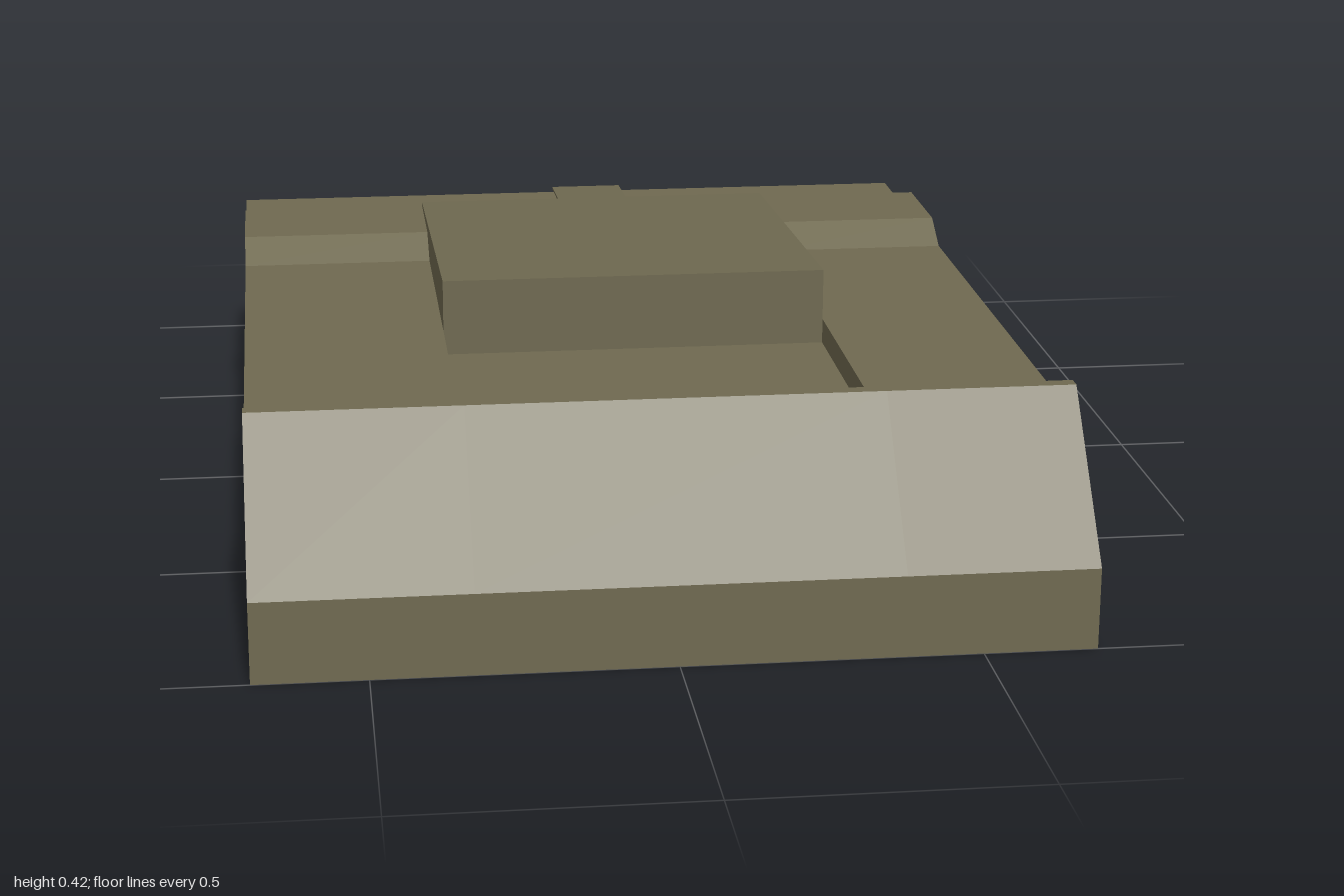
import * as THREE from 'three';

const olive = new THREE.MeshStandardMaterial({ color: 0x6f6950 });
olive.name = 'olive drab';

// Extrudes a side profile of [z, y] points across the width from x0 to x1.
function slab(name, profile, x0, x1) {
  const shape = new THREE.Shape(profile.map(([z, y]) => new THREE.Vector2(z, y)));
  const geometry = new THREE.ExtrudeGeometry(shape, { depth: x1 - x0, bevelEnabled: false });
  geometry.rotateY(-Math.PI / 2);
  geometry.translate(x1, 0, 0);
  const mesh = new THREE.Mesh(geometry, olive);
  mesh.name = name;
  return mesh;
}

export function createModel() {
  const model = new THREE.Group();
  model.name = 'mountingBase';

  const halfWidth = 0.69, channelRight = -0.33, channelLeft = 0.37;

  // Shared stretches of the side profile
  const frontLip = [[1, 0], [1, 0.14], [0.79, 0.387], [0.765, 0.387]];
  const rearAndUnderside = [
    [-0.37, 0.37], [-0.58, 0.37], [-0.76, 0.32], [-0.86, 0.32], [-1, 0.08], [-1, 0],
    [-0.76, 0], [-0.51, 0.18], [0.65, 0.18], [0.72, 0.11], [0.72, 0],
  ];

  // Side rails with a flat deck and a raised rear step
  const rail = [...frontLip, [0.66, 0.33], [-0.3, 0.33], ...rearAndUnderside];
  model.add(slab('rightRail', rail, -halfWidth, channelRight));
  model.add(slab('leftRail', rail, channelLeft, halfWidth));

  // Centre section, sunk lower in front of the wedge block
  const centre = [...frontLip, [0.57, 0.285], [-0.28, 0.285], ...rearAndUnderside];
  model.add(slab('centreSection', centre, channelRight, channelLeft));

  // Wedge block sloping down to the rear
  const wedge = [[0.18, 0.28], [0.18, 0.424], [-0.58, 0.377], [-0.58, 0.365], [-0.37, 0.365], [-0.28, 0.28]];
  model.add(slab('wedgeBlock', wedge, channelRight, channelLeft));

  // Thin tab carrying the wedge slope past its rear edge
  const tab = [[-0.58, 0.377], [-0.71, 0.369], [-0.71, 0.365], [-0.58, 0.372]];
  model.add(slab('rearTab', tab, -0.05, 0.09));

  return model;
}
